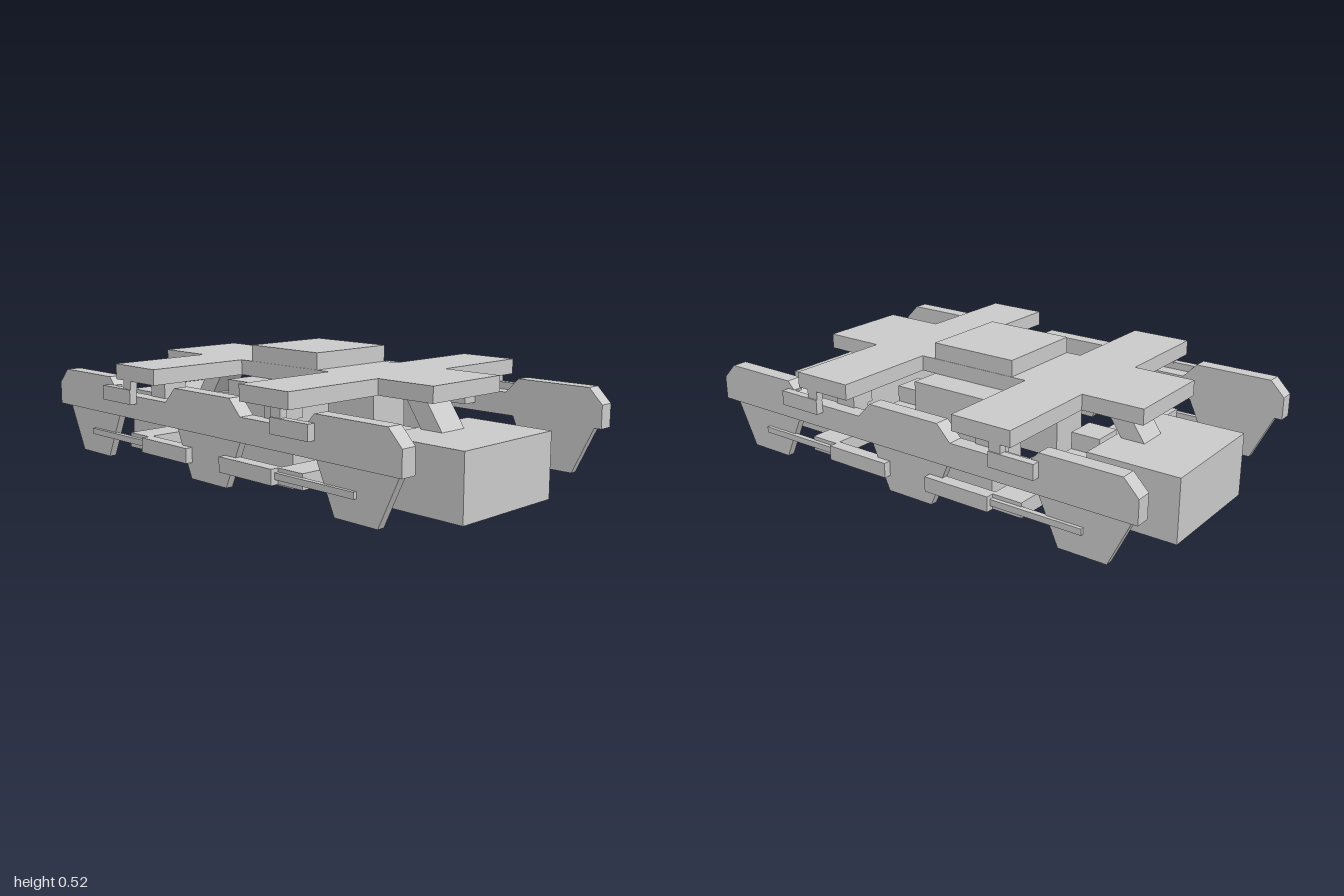
import * as THREE from 'three';

export function createModel() {
  const model = new THREE.Group();
  const mat = new THREE.MeshStandardMaterial({ color: 0xcccccc, flatShading: true });

  const add = (name, geo) => {
    const mesh = new THREE.Mesh(geo, mat);
    mesh.name = name;
    model.add(mesh);
    return mesh;
  };
  // Box from its limits on each axis
  const box = (name, x0, x1, y0, y1, z0, z1) => {
    const mesh = add(name, new THREE.BoxGeometry(x1 - x0, y1 - y0, z1 - z0));
    mesh.position.set((x0 + x1) / 2, (y0 + y1) / 2, (z0 + z1) / 2);
    return mesh;
  };
  // Box mirrored to the side (sx) and end (sz)
  const boxAt = (sx, sz, name, x0, x1, y0, y1, z0, z1) => {
    const mesh = box(name, x0, x1, y0, y1, z0, z1);
    mesh.position.x *= sx;
    mesh.position.z *= sz;
  };
  // Outline of [z, y] points, extruded from x0 to x1
  const sidePlate = (name, points, x0, x1) => {
    const shape = new THREE.Shape(points.map(([z, y]) => new THREE.Vector2(-z, y)));
    const geo = new THREE.ExtrudeGeometry(shape, { depth: x1 - x0, bevelEnabled: false });
    geo.rotateY(Math.PI / 2).translate(x0, 0, 0);
    return add(name, geo);
  };

  // Cross-shaped top frame
  const halfTop = [[0.195, 0.775], [0.195, 0.515], [0.643, 0.515], [0.643, 0.257],
    [0.195, 0.257], [0.195, -0.257], [0.643, -0.257], [0.643, -0.515],
    [0.195, -0.515], [0.195, -0.775]];
  const otherHalf = halfTop.map(([x, z]) => [-x, z]).reverse();
  const topShape = new THREE.Shape([...halfTop, ...otherHalf].map(([x, z]) => new THREE.Vector2(x, z)));
  const topGeo = new THREE.ExtrudeGeometry(topShape, { depth: 0.063, bevelEnabled: false });
  topGeo.rotateX(-Math.PI / 2).translate(0, 0.39, 0);
  add('topFrame', topGeo);
  box('centrePad', -0.193, 0.193, 0.36, 0.52, -0.193, 0.193);

  // Blocks, struts and cross beams at both ends
  for (const s of [1, -1]) {
    boxAt(1, s, 'endBlock', -0.258, 0.258, 0, 0.26, 0.58, 0.967);
    boxAt(1, s, 'crossBeam', -0.58, 0.58, 0.10, 0.16, 0.39, 0.518);
    boxAt(1, s, 'beamSaddle', -0.065, 0.065, 0.07, 0.23, 0.39, 0.518);
    const strut = [[0.72, 0.25], [0.62, 0.395], [0.52, 0.395], [0.62, 0.25]];
    sidePlate('slopingStrut', strut.map(([z, y]) => [z * s, y]), -0.065, 0.065);
  }

  // Half outline of a side frame, completed by mirroring along its length
  const halfFrame = [[1, 0.23], [1, 0.325], [0.94, 0.387], [0.61, 0.387], [0.55, 0.325],
    [0.225, 0.325], [0.165, 0.387]];
  const frame = [...halfFrame, ...halfFrame.map(([z, y]) => [-z, y]).reverse()];

  for (const sx of [1, -1]) {
    const across = (a, b) => (sx > 0 ? [a, b] : [-b, -a]);
    sidePlate('sideFrame', frame, ...across(0.55, 0.613));
    boxAt(sx, 1, 'middleBlock', 0.13, 0.322, 0, 0.39, -0.193, 0.193);

    // Tapered plates hanging under the side frame
    sidePlate('middlePedestal', [[0.195, 0.235], [0.105, 0.035], [-0.105, 0.035], [-0.195, 0.235]],
      ...across(0.553, 0.583));
    for (const sz of [1, -1]) {
      const pedestal = [[0.97, 0.235], [0.873, 0.035], [0.675, 0.035], [0.583, 0.235]];
      sidePlate('endPedestal', pedestal.map(([z, y]) => [z * sz, y]), ...across(0.553, 0.583));

      // Brake cylinder and rod
      boxAt(sx, sz, 'brakeCylinder', 0.56, 0.613, 0.10, 0.16, 0.1, 0.392);
      boxAt(sx, sz, 'brakeRod', 0.575, 0.597, 0.12, 0.145, 0.1, 0.777);

      // Stepped bracket between top frame and side frame
      boxAt(sx, sz, 'upperBracket', 0.457, 0.56, 0.325, 0.395, 0.3, 0.392);
      boxAt(sx, sz, 'lowerBracket', 0.483, 0.56, 0.263, 0.325, 0.3, 0.392);

      // Damper outside the side frame, with its two mounts
      boxAt(sx, sz, 'damper', 0.613, 0.645, 0.295, 0.355, 0.42, 0.612);
      boxAt(sx, sz, 'damperHanger', 0.61, 0.64, 0.35, 0.395, 0.42, 0.47);
      boxAt(sx, sz, 'damperMount', 0.58, 0.62, 0.295, 0.355, 0.572, 0.612);
    }
  }
  return model;
}
